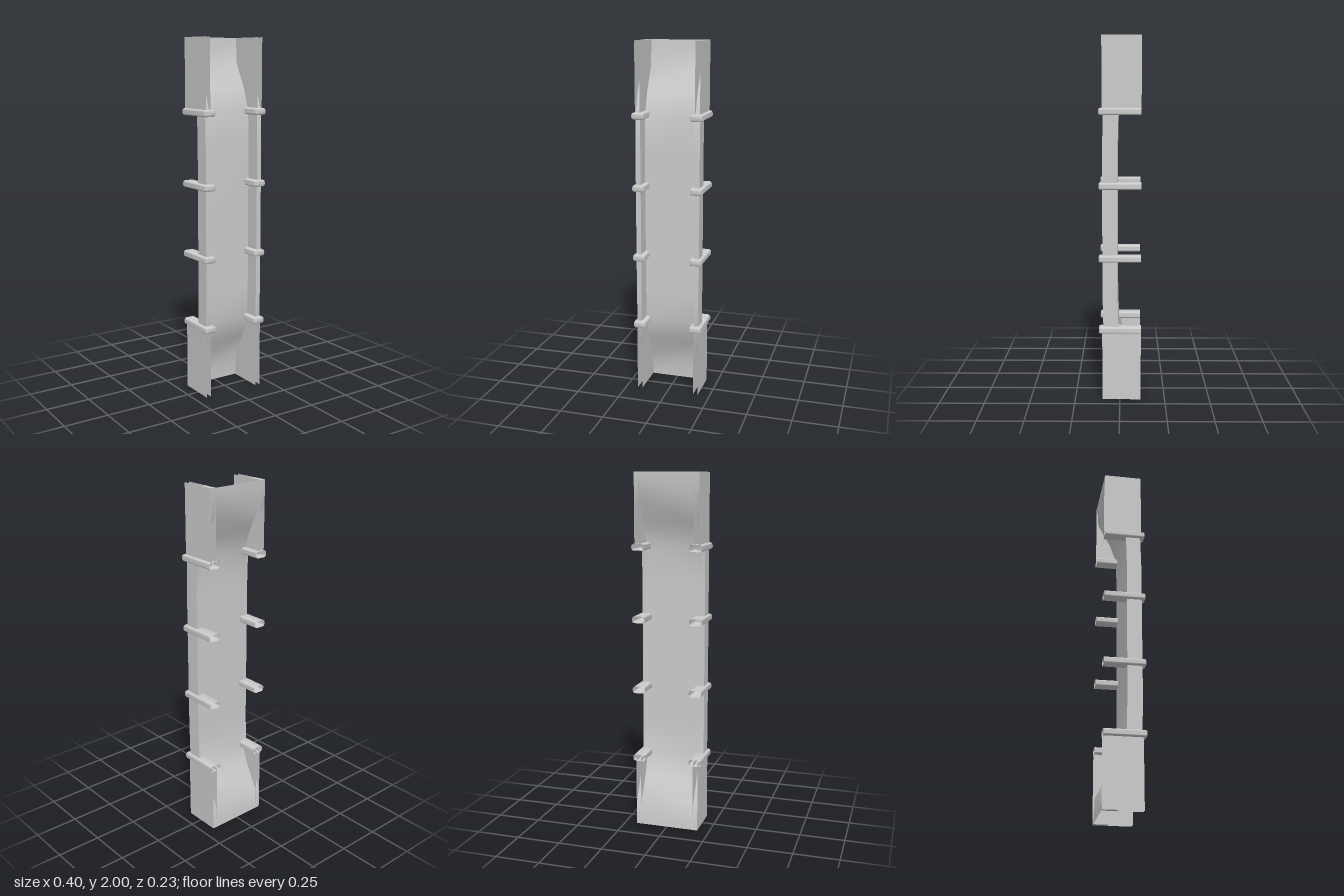
import * as THREE from 'three';
import { toCreasedNormals } from 'three/addons/utils/BufferGeometryUtils.js';

const material = new THREE.MeshStandardMaterial({ color: 0xcccccc, side: THREE.DoubleSide });
const INNER = 0.154, OUTER = 0.182, BACK = -0.116, FRONT = 0.098, DEPTH = 0.083;

// Upper half of the bent profile as [y, z], mirrored to the lower half
const upper = [[2, BACK], [1.86, -0.108], [1.725, -0.036], [1.6, 0.008], [1.4, 0.013]];
const profile = [...upper, ...upper.map(([y, z]) => [2 - y, z]).reverse()];

function part(parent, name, geometry) {
  const mesh = new THREE.Mesh(geometry, material);
  mesh.name = name;
  parent.add(mesh);
  return mesh;
}

// Skin between cross-sections, each a list of [x, y, z]; optional flat end caps
function loft(sections, closed) {
  const n = sections[0].length, index = [];
  for (let i = 0; i < sections.length - 1; i++) {
    for (let j = 0; j < (closed ? n : n - 1); j++) {
      const a = i * n + j, b = i * n + (j + 1) % n;
      index.push(a, a + n, b, b, a + n, b + n);
    }
  }
  if (closed) {
    const last = (sections.length - 1) * n;
    for (let j = 1; j < n - 1; j++) {
      index.push(0, j, j + 1, last, last + j + 1, last + j);
    }
  }
  const geometry = new THREE.BufferGeometry();
  geometry.setAttribute('position', new THREE.Float32BufferAttribute(sections.flat(2), 3));
  geometry.setIndex(index);
  geometry.computeVertexNormals();
  return geometry;
}

// Rounded outline of a clip in x and y
function clipOutline(w, h, r, z) {
  const points = [];
  for (let q = 0; q < 4; q++) {
    const cx = (q === 0 || q === 3 ? 1 : -1) * (w / 2 - r);
    const cy = (q < 2 ? 1 : -1) * (h / 2 - r);
    for (let k = 0; k <= 4; k++) {
      const a = (q + k / 4) * Math.PI / 2;
      points.push([cx + r * Math.cos(a), cy + r * Math.sin(a), z]);
    }
  }
  return points;
}

// Hollow clip with a rounded front, open at the back
function clipGeometry() {
  const front = 0.116;
  const sections = [
    clipOutline(0.056, 0.022, 0.009, front),
    clipOutline(0.068, 0.034, 0.013, front - 0.003),
    clipOutline(0.072, 0.038, 0.015, front - 0.01),
    clipOutline(0.072, 0.038, 0.015, BACK),
  ];
  const geometry = loft(sections, true);
  // Drop the back cap, keeping the front one
  const index = Array.from(geometry.index.array);
  const n = sections[0].length, sideCount = (sections.length - 1) * n * 6;
  const kept = index.slice(0, sideCount);
  for (let j = 1; j < n - 1; j++) kept.push(0, j, j + 1);
  geometry.setIndex(kept);
  return toCreasedNormals(geometry, 0.9);
}

export function createModel() {
  const model = new THREE.Group();
  model.name = 'bentPanelFrame';

  // Central bent sheet
  part(model, 'panel', loft(profile.map(([y, z]) => [[-INNER, y, z], [INNER, y, z]]), false));

  const clip = clipGeometry();
  for (const side of [-1, 1]) {
    const label = side > 0 ? 'left' : 'right';

    // Box rail that follows the bend of the panel
    const [x0, x1] = side > 0 ? [INNER, OUTER] : [-OUTER, -INNER];
    const rail = loft(profile.map(([y, z]) => [
      [x0, y, z + DEPTH], [x1, y, z + DEPTH], [x1, y, z], [x0, y, z],
    ]), true);
    part(model, label + 'Rail', toCreasedNormals(rail, 0.8));

    // Flat cheek plates beside the bent ends
    for (const y of [0.2, 1.8]) {
      for (const x of [INNER, OUTER]) {
        const plate = part(model, label + 'CheekPlate', new THREE.PlaneGeometry(FRONT - BACK, 0.4));
        plate.rotation.y = side * Math.PI / 2;
        plate.position.set(side * x, y, (FRONT + BACK) / 2);
      }
    }

    // Clips spaced along the rail
    for (const y of [0.4, 0.8, 1.2, 1.6]) {
      part(model, label + 'Clip', clip).position.set(side * 0.164, y, 0);
    }
  }
  return model;
}
